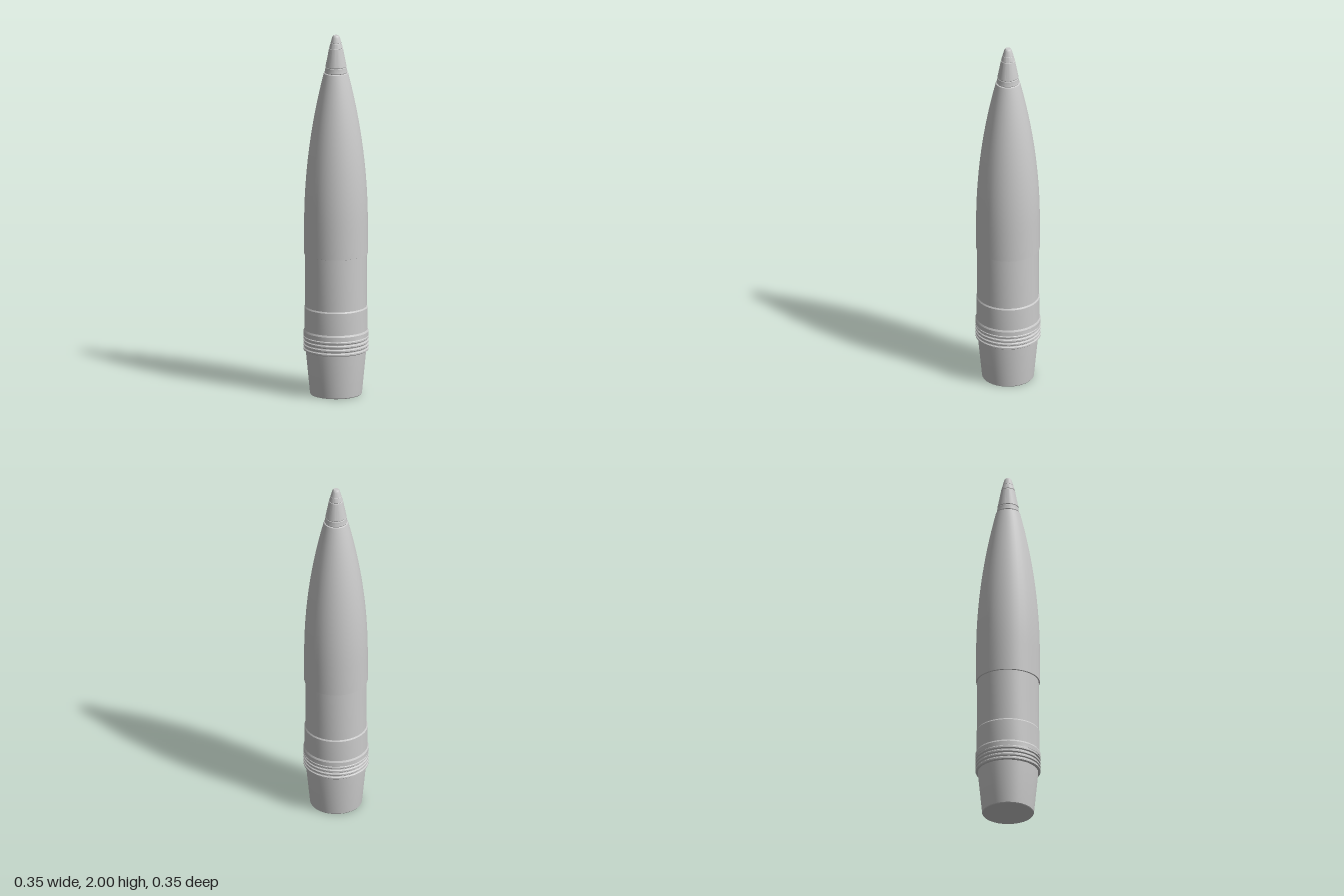
import * as THREE from 'three';
import { toCreasedNormals } from 'three/addons/utils/BufferGeometryUtils.js';

const SIDES = 36;

export function createModel() {
  const model = new THREE.Group();
  const material = new THREE.MeshStandardMaterial({ color: 0xcccccc });

  // Turned part from [radius, height] pairs, bottom to top
  function turned(name, profile) {
    const points = profile.map(([r, y]) => new THREE.Vector2(r, y));
    const geometry = toCreasedNormals(new THREE.LatheGeometry(points, SIDES), 0.3);
    const mesh = new THREE.Mesh(geometry, material);
    mesh.name = name;
    model.add(mesh);
  }

  // Tapered tail with a flat base
  turned('boatTail', [[0, 0], [0.138, 0], [0.141, 0.004], [0.164, 0.24], [0.164, 0.25]]);

  // Grooved driving band: ridges separated by narrow grooves
  const band = [[0.164, 0.245]];
  for (let i = 0; i < 4; i++) {
    const y = 0.245 + i * 0.022;
    band.push([0.172, y], [0.177, y + 0.004], [0.177, y + 0.012], [0.172, y + 0.016], [0.171, y + 0.02]);
  }
  band.push([0.177, 0.328], [0.177, 0.352], [0.172, 0.362]);
  turned('drivingBand', band);

  // Collar above the band and the narrower waist
  turned('collar', [[0.172, 0.36], [0.172, 0.484], [0.167, 0.492]]);
  turned('waist', [[0.167, 0.49], [0.167, 0.785]]);

  // Shoulder running into the curved nose
  const nose = [[0.167, 0.782], [0.173, 0.784], [0.173, 0.95]];
  for (let i = 1; i <= 16; i++) {
    const t = i / 16;
    nose.push([0.173 - 0.107 * t * t, 0.95 + 0.84 * t]);
  }
  nose.push([0.06, 1.793]);
  turned('nose', nose);

  // Fuze: seating ring, cone, neck ring and blunt tip
  turned('fuzeRing', [[0.058, 1.79], [0.062, 1.797], [0.057, 1.822], [0.055, 1.824], [0.055, 1.828]]);
  turned('fuzeCone', [[0.055, 1.826], [0.057, 1.829], [0.047, 1.88], [0.038, 1.927], [0.035, 1.929]]);
  turned('fuzeNeck', [[0.035, 1.928], [0.037, 1.931], [0.03, 1.957], [0.028, 1.959]]);
  turned('fuzeTip', [[0.028, 1.958], [0.029, 1.96], [0.022, 1.985], [0.019, 1.993], [0.014, 2], [0, 2]]);

  return model;
}
